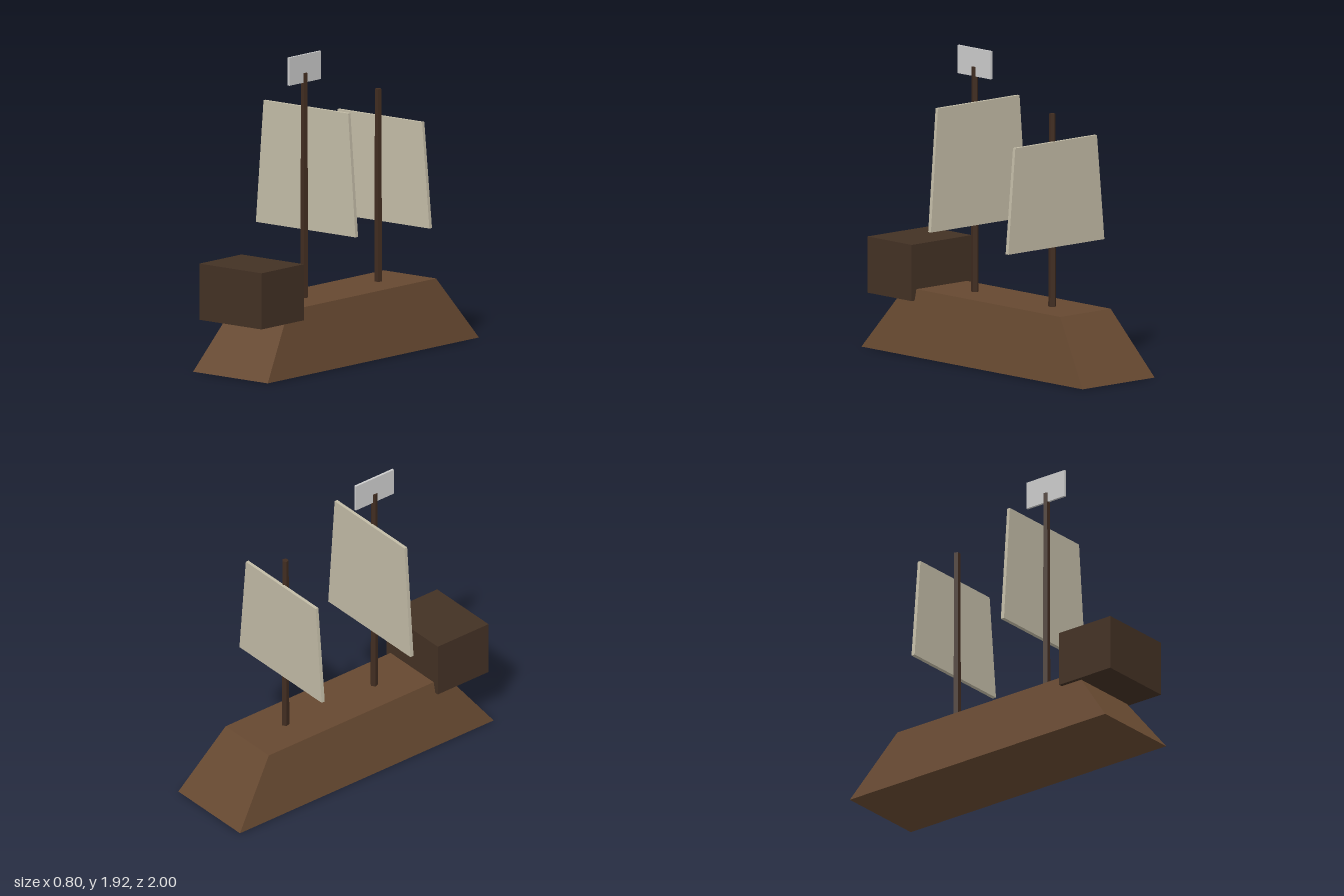
import * as THREE from 'three';

const paint = (color) => new THREE.MeshStandardMaterial({ color, flatShading: true });

// Box whose top face is scaled in x and z; it stands on its own y = 0
function taperedBox(w, h, d, topX, topZ) {
  const geo = new THREE.BoxGeometry(w, h, d).translate(0, h / 2, 0);
  const p = geo.attributes.position;
  for (let i = 0; i < p.count; i++) {
    if (p.getY(i) > h / 2) {
      p.setX(i, p.getX(i) * topX);
      p.setZ(i, p.getZ(i) * topZ);
    }
  }
  geo.computeVertexNormals();
  return geo;
}

export function createModel() {
  const ship = new THREE.Group();
  ship.name = 'sailingShip';

  const hullWood = paint(0x664830);
  const darkWood = paint(0x433124);
  const mastWood = paint(0x402c20);
  const canvas = paint(0xc2bba6);
  const grey = paint(0xcccccc);

  function add(name, geometry, material, x, y, z) {
    const mesh = new THREE.Mesh(geometry, material);
    mesh.name = name;
    mesh.position.set(x, y, z);
    ship.add(mesh);
    return mesh;
  }

  // Hull, narrowing to the deck
  const deckY = 0.4;
  add('hull', taperedBox(0.6, deckY, 2, 0.7, 0.7), hullWood, 0, 0, 0);

  // Cabin overhanging the end of the deck
  add('cabin', new THREE.BoxGeometry(0.5, 0.35, 0.4), darkWood, 0, 0.505, 0.8);

  // Masts, each with a sail just behind it
  const rigs = [
    { name: 'front', z: 0.3, top: 1.8, sailBottom: 0.82, sailTop: 1.585 },
    { name: 'rear', z: -0.4, top: 1.6, sailBottom: 0.775, sailTop: 1.43 },
  ];
  for (const rig of rigs) {
    const height = rig.top - deckY;
    const mast = new THREE.CylinderGeometry(0.021, 0.025, height, 5).rotateY(Math.PI);
    add(rig.name + 'Mast', mast, mastWood, 0, deckY + height / 2, rig.z);
    const sail = taperedBox(0.8, rig.sailTop - rig.sailBottom, 0.025, 0.85, 0.85);
    add(rig.name + 'Sail', sail, canvas, 0, rig.sailBottom, rig.z - 0.025);
  }

  // Flag at the head of the front mast
  add('flag', new THREE.BoxGeometry(0.015, 0.175, 0.3), grey, 0, 1.828, 0.3);

  return ship;
}
